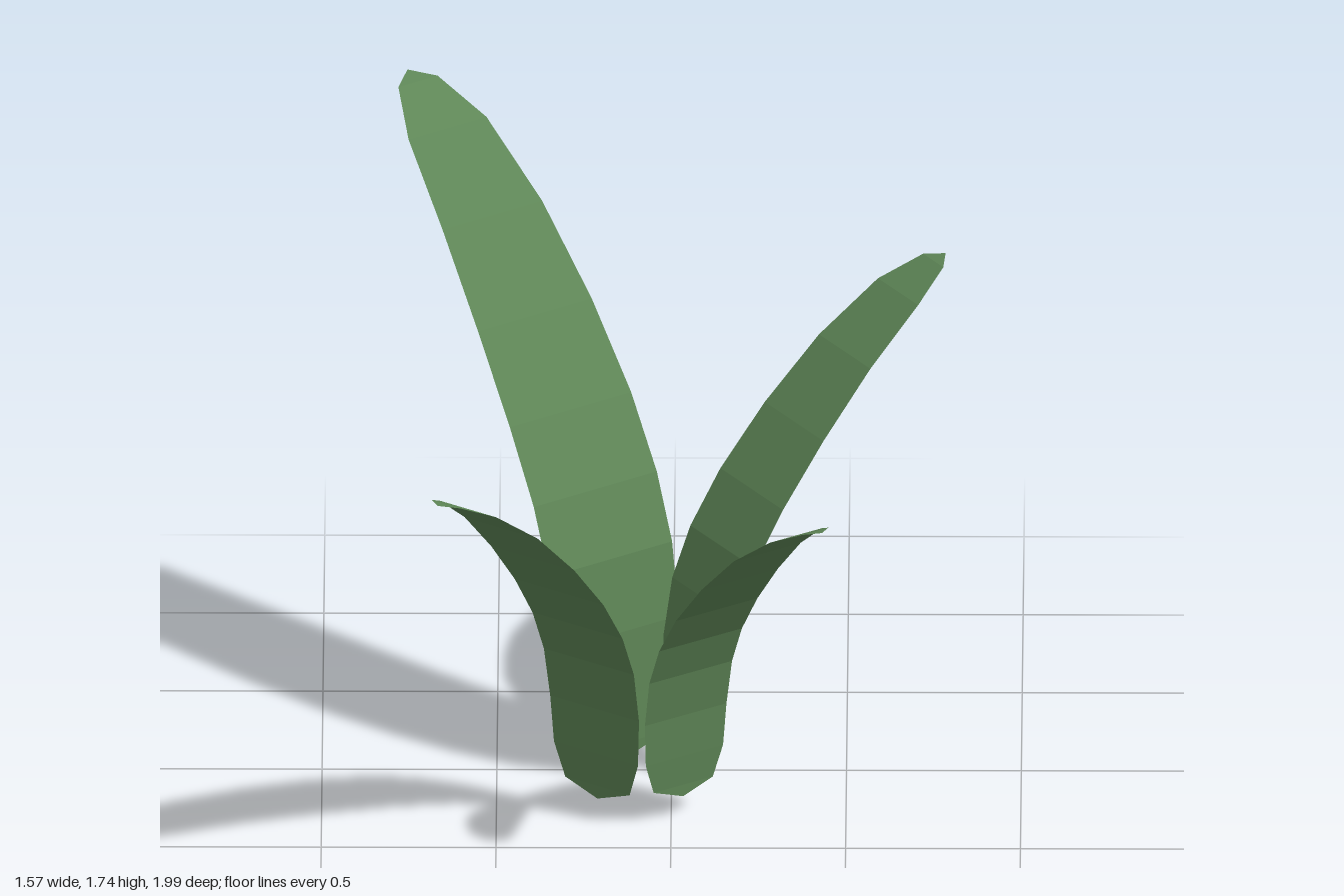
import * as THREE from 'three';

// Leaf cross-sections from root to tip: [height, outward reach, half width]
const SECTIONS = [
  [0, -0.01, 0], [0.055, -0.01, 0.15], [0.2, 0, 0.196], [0.4, 0.01, 0.207],
  [0.62, 0.05, 0.21], [0.81, 0.13, 0.21], [1.01, 0.26, 0.207], [1.235, 0.447, 0.194],
  [1.46, 0.67, 0.17], [1.64, 0.905, 0.133], [1.725, 1.06, 0.067], [1.74, 1.115, 0],
];

// Flat, outward-bending blade with pointed ends
function leafGeometry() {
  const positions = [];
  const index = [];
  SECTIONS.forEach(([y, z, h], i) => {
    positions.push(-h, y, z, h, y, z);
    if (i === 0) return;
    const l0 = 2 * i - 2, r0 = l0 + 1, l1 = 2 * i, r1 = l1 + 1;
    if (SECTIONS[i - 1][2] > 0) index.push(r0, l0, l1);
    if (h > 0) index.push(r0, l1, r1);
  });
  const indexed = new THREE.BufferGeometry();
  indexed.setAttribute('position', new THREE.Float32BufferAttribute(positions, 3));
  indexed.setIndex(index);
  const geometry = indexed.toNonIndexed(); // faceted bands
  geometry.computeVertexNormals();
  return geometry;
}

// Root position, outward direction in plan, and size of each leaf
const LEAVES = [
  { name: 'backRightLeaf', root: [-0.148, 0.003, -0.065], dir: [-0.55, -0.836], size: 1 },
  { name: 'backLeftLeaf', root: [0.06, 0.05, -0.014], dir: [0.83, -0.56], size: 0.78 },
  { name: 'frontRightLeaf', root: [-0.215, 0.06, 0.305], dir: [-0.547, 0.837], size: 0.735 },
  { name: 'frontLeftLeaf', root: [0.038, 0.07, 0.308], dir: [0.535, 0.845], size: 0.665 },
];

export function createModel() {
  const plant = new THREE.Group();
  plant.name = 'plant';
  const leafGreen = new THREE.MeshStandardMaterial({ color: 0x5f8757, side: THREE.DoubleSide, flatShading: true });
  leafGreen.name = 'leafGreen';
  const geometry = leafGeometry();

  for (const { name, root, dir, size } of LEAVES) {
    const leaf = new THREE.Mesh(geometry, leafGreen);
    leaf.name = name;
    leaf.position.set(...root);
    leaf.rotation.y = Math.atan2(dir[0], dir[1]);
    leaf.scale.setScalar(size);
    plant.add(leaf);
  }
  return plant;
}
